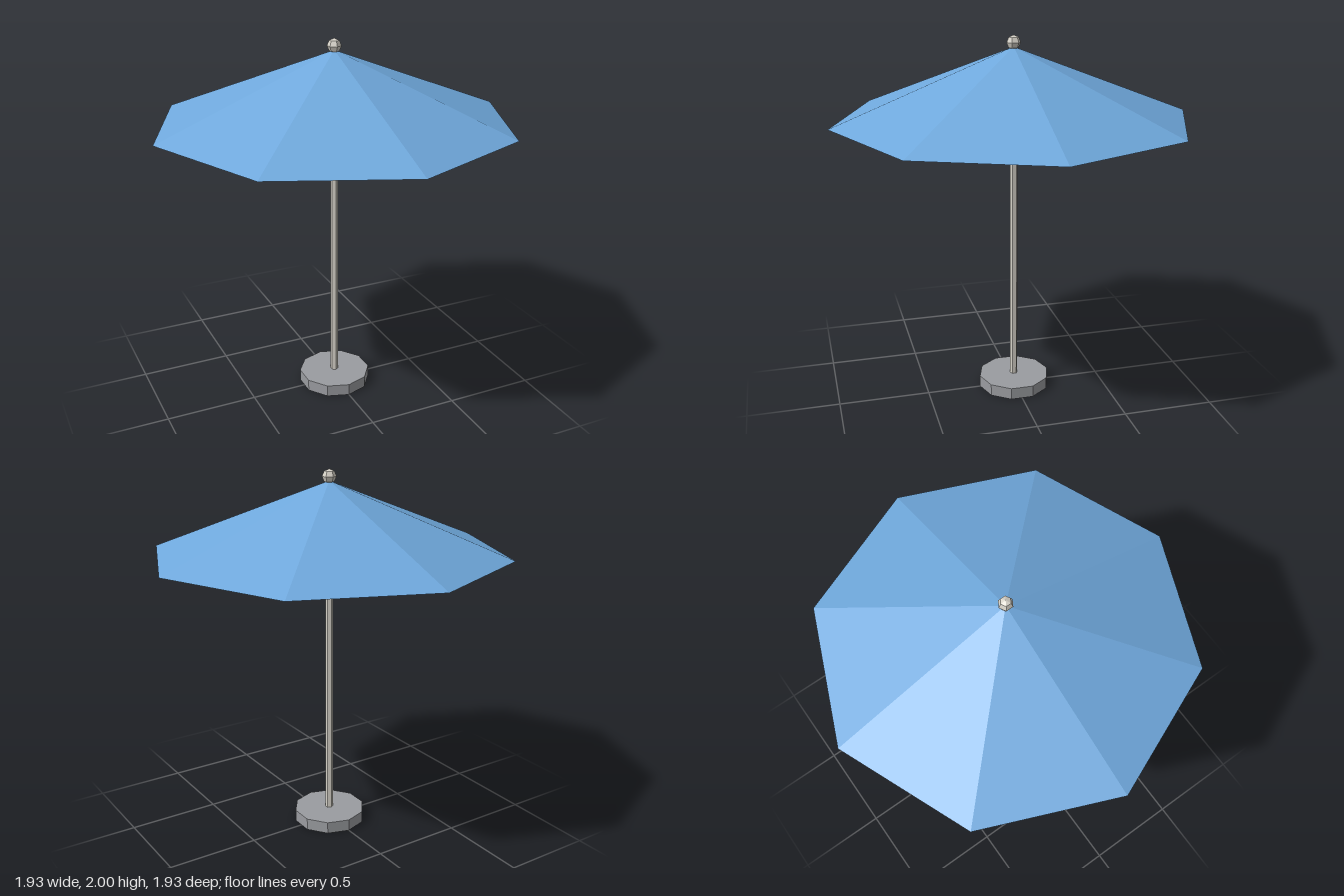
import * as THREE from 'three';

export function createModel() {
  const group = new THREE.Group();
  const fabric = new THREE.MeshStandardMaterial({ color: 0x6fa8dc, flatShading: true });
  fabric.name = 'blue fabric';
  const metal = new THREE.MeshStandardMaterial({ color: 0xd6d2c8, flatShading: true });
  metal.name = 'pale metal';
  const stone = new THREE.MeshStandardMaterial({ color: 0x9a9ca0, flatShading: true });
  stone.name = 'grey stone';

  const add = (name, geometry, material, y) => {
    const mesh = new THREE.Mesh(geometry, material);
    mesh.name = name;
    mesh.position.y = y;
    group.add(mesh);
    return mesh;
  };

  // Ten-sided weighted foot
  add('base', new THREE.CylinderGeometry(0.2, 0.2, 0.066, 10), stone, 0.033);

  // Hexagonal pole, running from the foot up into the canopy
  add('pole', new THREE.CylinderGeometry(0.021, 0.021, 1.85, 6), metal, 0.95);

  // Eight-panel canopy, closed underneath
  add('canopy', new THREE.ConeGeometry(0.967, 0.38, 8), fabric, 1.75);

  // Faceted ball on top, with its corners lined up with the pole
  const finial = add('finial', new THREE.SphereGeometry(0.038, 6, 4), metal, 1.962);
  finial.rotation.y = Math.PI / 6;

  return group;
}
